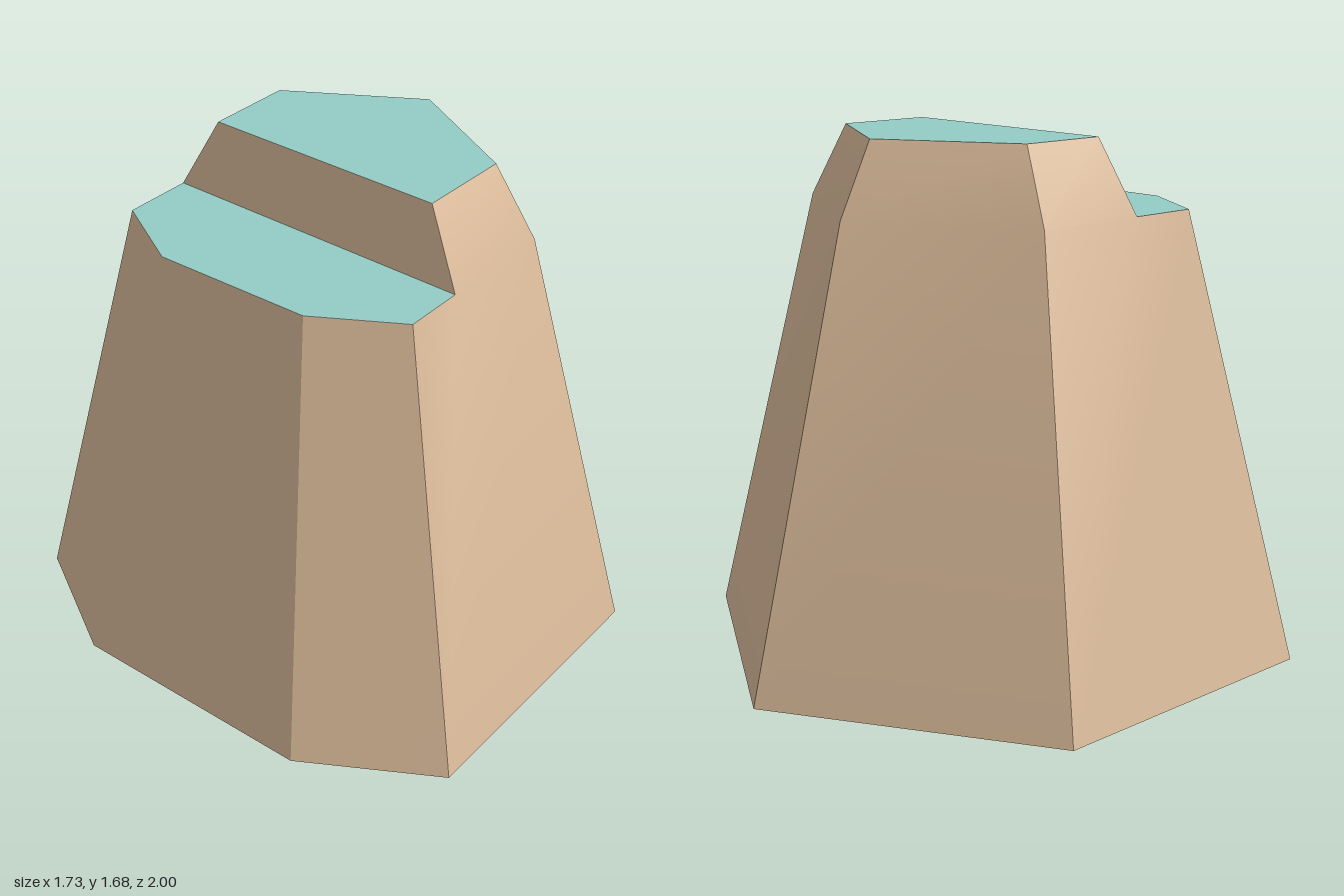
import * as THREE from 'three';
import { toCreasedNormals } from 'three/addons/utils/BufferGeometryUtils.js';

const STEP = 1.45, TOP = 1.685;

// Places plan points [x, z] at a height
const at = (y, points) => points.map(([x, z]) => [x, y, z]);

// Builds a faceted mesh from convex polygons listed counter-clockwise from outside
function polyMesh(name, polygons, material) {
  const positions = [];
  for (const p of polygons) {
    for (let i = 1; i < p.length - 1; i++) positions.push(...p[0], ...p[i], ...p[i + 1]);
  }
  let geometry = new THREE.BufferGeometry();
  geometry.setAttribute('position', new THREE.Float32BufferAttribute(positions, 3));
  geometry = toCreasedNormals(geometry, 0.4);
  const mesh = new THREE.Mesh(geometry, material);
  mesh.name = name;
  return mesh;
}

export function createModel() {
  const stone = new THREE.MeshStandardMaterial({ color: 0xdcbc9b });
  stone.name = 'tan stone';
  const cap = new THREE.MeshStandardMaterial({ color: 0x94ccc6 });
  cap.name = 'teal top';

  // Footprint, starting at the back and passing the right, front and left
  const base = at(0, [[0, -1], [-0.866, -0.5], [-0.866, 0], [-0.433, 0.75],
    [0, 1], [0.866, 0.5], [0.866, -0.5]]);
  // Same outline, narrowed at the height of the step
  const rim = at(STEP, [[0, -0.63], [-0.545, -0.315], [-0.545, 0], [-0.272, 0.472],
    [0, 0.63], [0.545, 0.315], [0.545, -0.315]]);
  // Ends of the diagonal step line, lying on the rim
  const [stepBack, stepFront] = at(STEP, [[-0.34, -0.433], [0.18, 0.526]]);
  // Raised top, from the front end of the step round the left to its back end
  const crown = at(TOP, [[0.16, 0.39], [0.443, 0.23], [0.443, -0.257],
    [0.02, -0.5], [-0.24, -0.35]]);
  const crownFoot = [stepFront, rim[5], rim[6], rim[0], stepBack];

  // Lower walls; two of them also carry an end of the step
  const walls = base.map((corner, i) => {
    const j = (i + 1) % base.length;
    const stepEnd = i === 0 ? [stepBack] : i === 4 ? [stepFront] : [];
    return [corner, base[j], rim[j], ...stepEnd, rim[i]];
  });
  // Steeply tapered walls of the raised part
  for (let i = 0; i < 4; i++) {
    walls.push([crownFoot[i], crownFoot[i + 1], crown[i + 1], crown[i]]);
  }

  const model = new THREE.Group();
  model.name = 'steppedPillar';
  model.add(
    polyMesh('outerWalls', walls, stone),
    polyMesh('stepWall', [[stepBack, stepFront, crown[0], crown[4]]], stone),
    polyMesh('underside', [[...base].reverse()], stone),
    polyMesh('lowerTop', [[stepBack, rim[1], rim[2], rim[3], rim[4], stepFront]], cap),
    polyMesh('upperTop', [crown], cap),
  );
  // Centre the footprint and the height on the ground
  return model;
}
